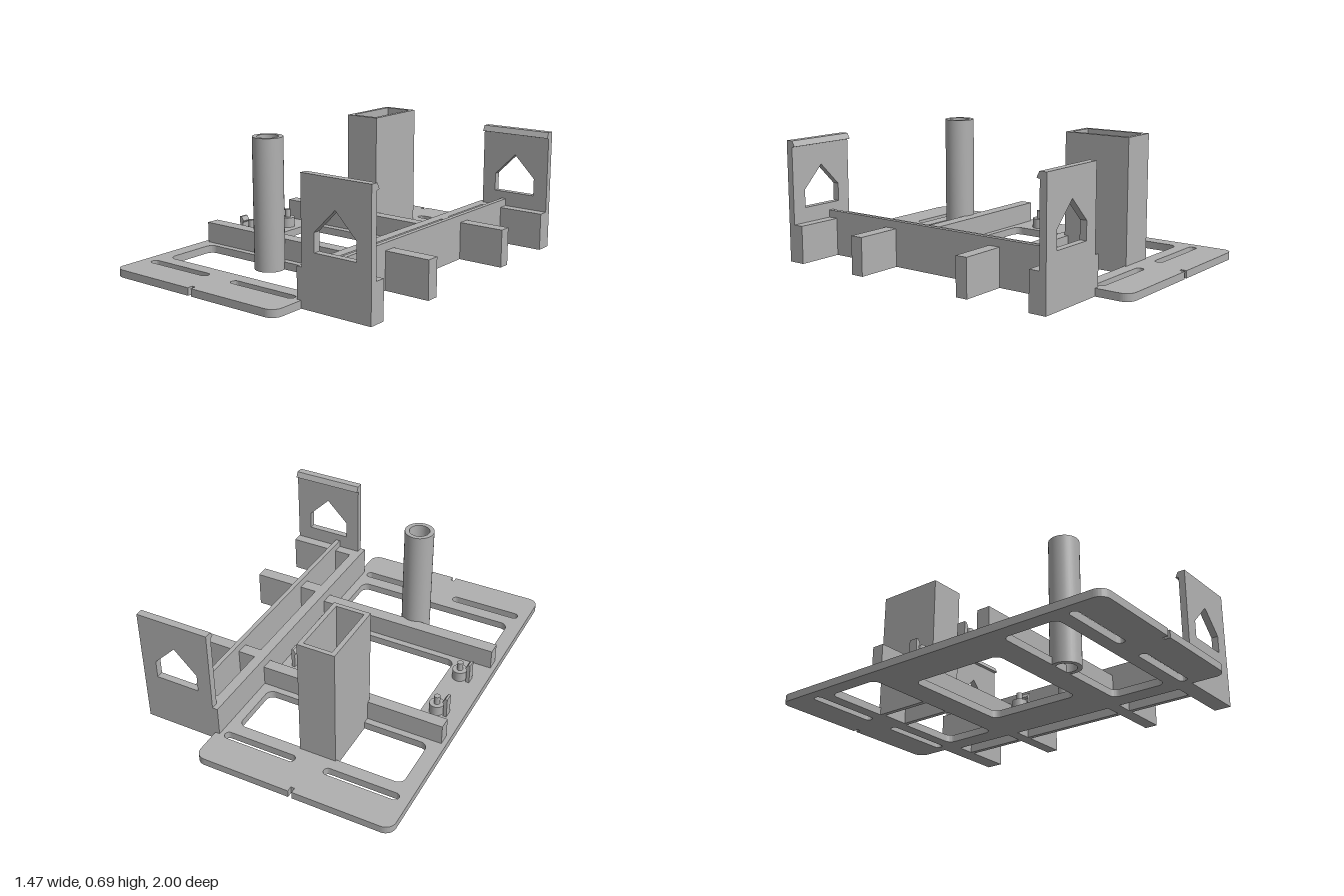
import * as THREE from 'three';
import { toCreasedNormals } from 'three/addons/utils/BufferGeometryUtils.js';

const grey = new THREE.MeshStandardMaterial({ color: 0xb0b0b0 });
grey.name = 'greyPlastic';

export function createModel() {
  const model = new THREE.Group();
  model.name = 'mountingFrame';

  const add = (name, geometry) => {
    const mesh = new THREE.Mesh(geometry, grey);
    mesh.name = name;
    model.add(mesh);
    return mesh;
  };

  // Box given by its limits on each axis
  const box = (name, x0, x1, y0, y1, z0, z1) =>
    add(name, new THREE.BoxGeometry(x1 - x0, y1 - y0, z1 - z0)
      .translate((x0 + x1) / 2, (y0 + y1) / 2, (z0 + z1) / 2));

  const extrude = (shape, depth) => toCreasedNormals(
    new THREE.ExtrudeGeometry(shape, { depth, bevelEnabled: false, curveSegments: 16 }), 0.5);

  // Extrude a plan drawn in (x, -z) upward from y0 to y1
  const upright = (name, shape, y0, y1) =>
    add(name, extrude(shape, y1 - y0).rotateX(-Math.PI / 2).translate(0, y0, 0));

  // Rounded rectangle path in plan
  const rounded = (x0, x1, z0, z1, r) => {
    const p = new THREE.Path(), a = -z1, b = -z0, q = Math.PI / 2;
    p.moveTo(x0 + r, a);
    p.absarc(x1 - r, a + r, r, -q, 0);
    p.absarc(x1 - r, b - r, r, 0, q);
    p.absarc(x0 + r, b - r, r, q, 2 * q);
    p.absarc(x0 + r, a + r, r, 2 * q, 3 * q);
    return p;
  };

  // Base plate with end notches, windows and adjustment slots
  const plate = new THREE.Shape(), r = 0.055, q = Math.PI / 2;
  const L = -0.735, R = 0.33, N = -0.205;
  plate.moveTo(L + r, -1);
  plate.lineTo(N - 0.01, -1);
  plate.lineTo(N - 0.01, -0.97);
  plate.lineTo(N + 0.01, -0.97);
  plate.lineTo(N + 0.01, -1);
  plate.absarc(R - r, -1 + r, r, -q, 0);
  plate.absarc(R - r, 1 - r, r, 0, q);
  plate.lineTo(N + 0.01, 1);
  plate.lineTo(N + 0.01, 0.97);
  plate.lineTo(N - 0.01, 0.97);
  plate.lineTo(N - 0.01, 1);
  plate.absarc(L + r, 1 - r, r, q, 2 * q);
  plate.absarc(L + r, -1 + r, r, 2 * q, 3 * q);
  plate.holes.push(
    rounded(-0.655, 0.255, -0.71, -0.405, 0.04),
    rounded(-0.515, 0.115, -0.265, 0.26, 0.04),
    rounded(-0.655, 0.255, 0.4, 0.705, 0.04));
  for (const z of [-0.8, 0.8])
    for (const x of [-0.68, -0.12])
      plate.holes.push(rounded(x, x + 0.4, z - 0.023, z + 0.023, 0.0225));
  upright('basePlate', plate, 0, 0.04);

  // Cross rails and the side fins that continue them
  for (const [z0, z1] of [[-0.37, -0.305], [0.295, 0.365]]) {
    box('crossRail', -0.71, 0.31, 0, 0.15, z0, z1);
    box('sideFin', 0.35, 0.73, 0, 0.2, z0, z1);
  }

  // Long side wall and thin upright rib
  box('sideWall', 0.305, 0.36, 0, 0.2, -0.812, 0.812);
  box('longRib', 0.455, 0.48, 0, 0.24, -0.78, 0.78);

  // Round tube
  const ring = new THREE.Shape().absarc(-0.205, -0.43, 0.079, 0, Math.PI * 2);
  ring.holes.push(new THREE.Path().absarc(-0.205, -0.43, 0.055, 0, Math.PI * 2));
  upright('roundTube', ring, 0, 0.69);

  // Rectangular tube
  const rect = (x0, x1, z0, z1) => [[x0, -z1], [x1, -z1], [x1, -z0], [x0, -z0]]
    .map(p => new THREE.Vector2(...p));
  const duct = new THREE.Shape(rect(-0.302, -0.105, -0.72, -0.35));
  duct.holes.push(new THREE.Path(rect(-0.278, -0.129, -0.697, -0.374)));
  upright('rectangularTube', duct, 0, 0.69);

  // End clips: foot block, plate with a house-shaped window, and inward hook
  for (const s of [-1, 1]) {
    const [f0, f1] = [0.72 * s, 0.812 * s].sort((a, b) => a - b);
    box('clipFoot', 0.35, 0.73, 0, 0.2, f0, f1);

    const face = new THREE.Shape();
    face.moveTo(0.333, 0);
    face.lineTo(0.73, 0);
    face.lineTo(0.73, 0.64);
    face.lineTo(0.333, 0.64);
    face.holes.push(new THREE.Path([[0.41, 0.28], [0.65, 0.28], [0.65, 0.375],
      [0.53, 0.495], [0.41, 0.375]].map(p => new THREE.Vector2(...p))));
    add('clipPlate', extrude(face, 0.037).translate(0, 0, s > 0 ? 0.775 : -0.812));

    const hook = new THREE.Shape([[0.78, 0.605], [0.757, 0.61], [0.772, 0.64], [0.78, 0.64]]
      .map(([z, y]) => new THREE.Vector2(-z * s, y)));
    add('clipHook', extrude(hook, 0.397).rotateY(Math.PI / 2).translate(0.333, 0, 0));
  }

  // Locating pegs, each with a small snap catch on its outer side
  for (const z of [-0.155, 0.15])
    for (const [x, s] of [[-0.59, -1], [0.185, 1]]) {
      add('pegBoss', new THREE.CylinderGeometry(0.039, 0.039, 0.06, 32).translate(x, 0.065, z));
      add('pegPin', new THREE.CylinderGeometry(0.016, 0.016, 0.05, 24).translate(x, 0.115, z));
      const catchShape = new THREE.Shape([[0.045, 0.03], [0.064, 0.03], [0.064, 0.153],
        [0.052, 0.153], [0.038, 0.13], [0.045, 0.12]]
        .map(([u, y]) => new THREE.Vector2(x + u * s, y)));
      add('snapCatch', extrude(catchShape, 0.046).translate(0, 0, z - 0.023));
    }

  return model;
}
